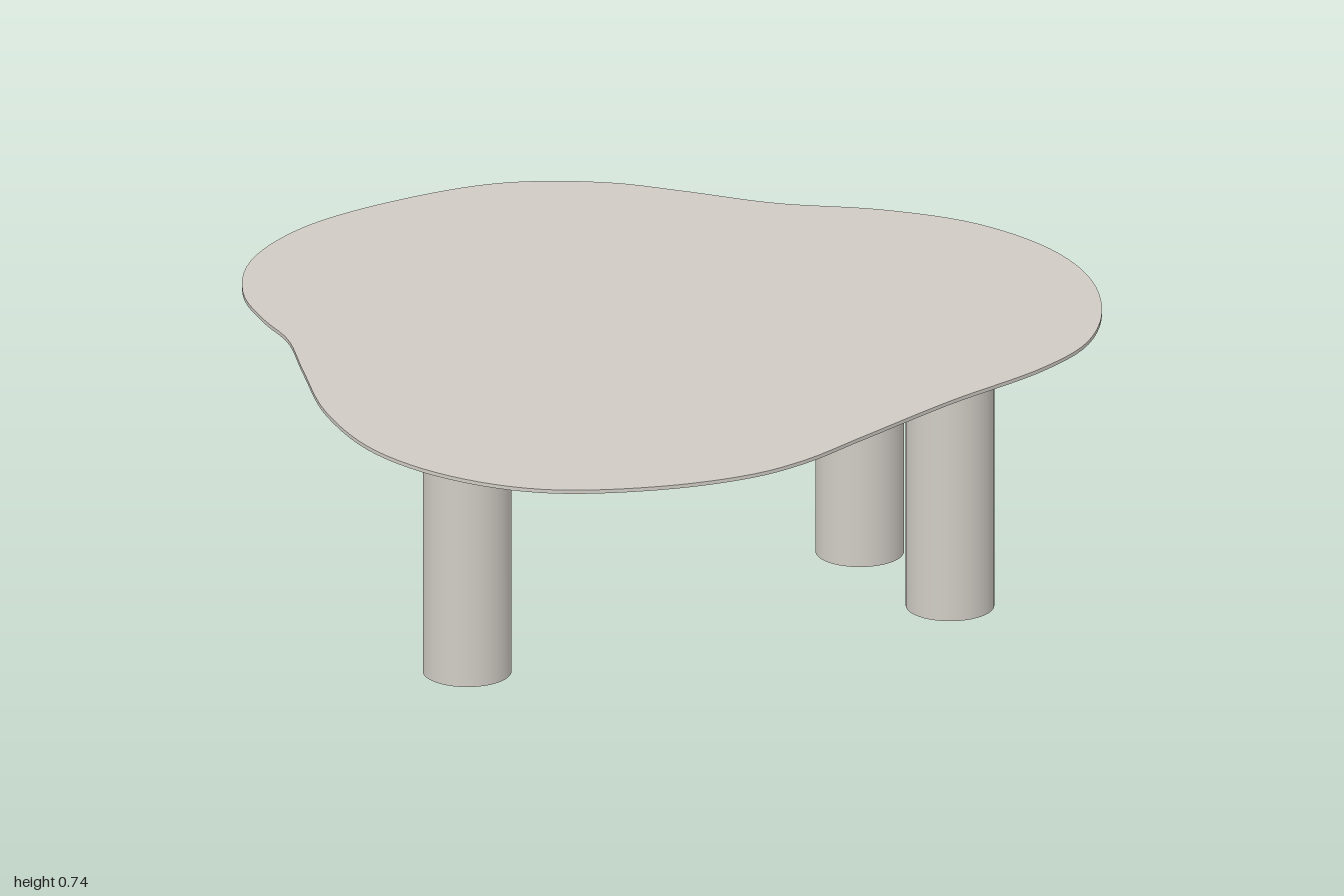
import * as THREE from 'three';

const BOTTOM = 0.695, RIM = 0.728, TOP = 0.737, INSET = 0.915;

// Free-form outline of the table top as x, z pairs, clockwise seen from above
const OUTLINE = [
  [-0.12, -0.97], [0.137, -0.94], [0.34, -0.82], [0.463, -0.683], [0.602, -0.511],
  [0.795, -0.345], [0.929, -0.169], [0.995, 0.056], [0.98, 0.27], [0.886, 0.484],
  [0.752, 0.634], [0.59, 0.715], [0.297, 0.79], [0, 0.886], [-0.185, 0.945],
  [-0.335, 0.961], [-0.56, 0.918], [-0.795, 0.8], [-0.934, 0.62], [-1, 0.388],
  [-0.972, 0.12], [-0.88, -0.14], [-0.806, -0.335], [-0.79, -0.463], [-0.747, -0.63],
  [-0.624, -0.806], [-0.41, -0.93],
];

// Closed band between two scaled copies of the outline
function band(points, y0, s0, y1, s1) {
  const n = points.length, pos = [], index = [];
  for (const p of points) pos.push(p.x * s0, y0, p.z * s0, p.x * s1, y1, p.z * s1);
  for (let i = 0; i < n; i++) {
    const a = 2 * i, b = 2 * ((i + 1) % n);
    index.push(a, a + 1, b, b, a + 1, b + 1);
  }
  const geo = new THREE.BufferGeometry();
  geo.setAttribute('position', new THREE.Float32BufferAttribute(pos, 3));
  geo.setIndex(index);
  geo.computeVertexNormals();
  return geo;
}

// Flat cap facing up (dir 1) or down (dir -1)
function cap(points, y, scale, dir) {
  const shape = new THREE.Shape(points.map(p => new THREE.Vector2(p.x * scale, -dir * p.z * scale)));
  return new THREE.ShapeGeometry(shape).rotateX(-dir * Math.PI / 2).translate(0, y, 0);
}

export function createModel() {
  const model = new THREE.Group();
  model.name = 'coffeeTable';
  const stone = new THREE.MeshStandardMaterial({ color: 0xd0cbc4 });
  stone.name = 'warm grey stone';

  const add = (parent, name, geometry) => {
    const mesh = new THREE.Mesh(geometry, stone);
    mesh.name = name;
    parent.add(mesh);
    return mesh;
  };

  // Table top: thin upright rim over a wide chamfer
  const curve = new THREE.CatmullRomCurve3(OUTLINE.map(([x, z]) => new THREE.Vector3(x, 0, z)), true);
  const points = curve.getSpacedPoints(160).slice(0, -1);
  const tableTop = new THREE.Group();
  tableTop.name = 'tableTop';
  model.add(tableTop);
  add(tableTop, 'topSurface', cap(points, TOP, 1, 1));
  add(tableTop, 'rim', band(points, RIM, 1, TOP, 1));
  add(tableTop, 'chamfer', band(points, BOTTOM, INSET, RIM, 1));
  add(tableTop, 'underside', cap(points, BOTTOM, INSET, -1));

  // Three round legs
  const legs = { frontLeftLeg: [0.61, 0.265], backLeftLeg: [0.61, -0.14], rightLeg: [-0.56, 0.06] };
  const legGeometry = new THREE.CylinderGeometry(0.102, 0.102, BOTTOM, 48);
  for (const [name, [x, z]] of Object.entries(legs)) {
    add(model, name, legGeometry).position.set(x, BOTTOM / 2, z);
  }
  return model;
}
